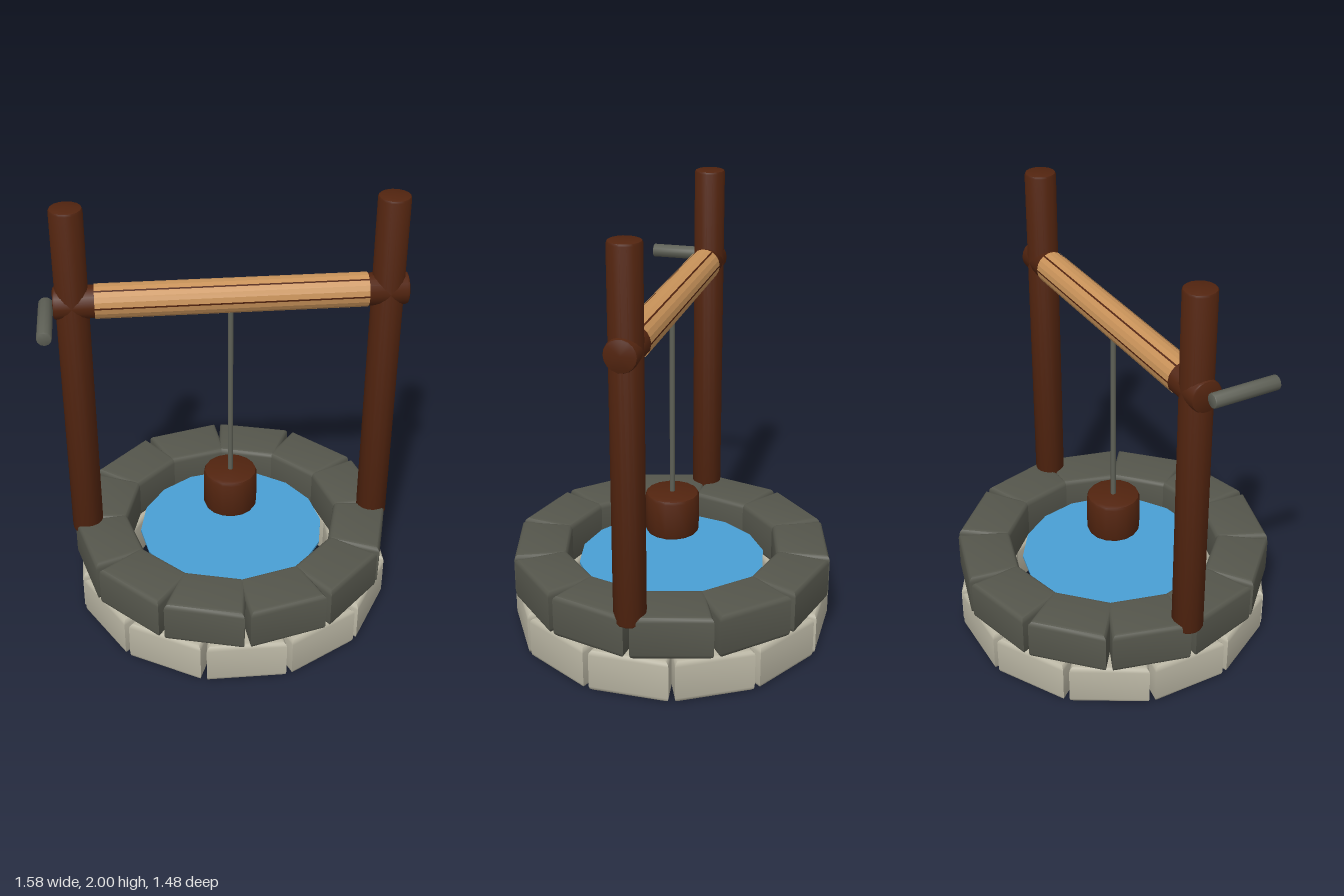
import * as THREE from 'three';
import { toCreasedNormals } from 'three/addons/utils/BufferGeometryUtils.js';

const mat = (name, color, side = THREE.FrontSide) => {
  const m = new THREE.MeshStandardMaterial({ color, side });
  m.name = name;
  return m;
};

export function createModel() {
  const paleStone = mat('paleStone', 0xb8b4a2);
  const darkStone = mat('darkStone', 0x55564c);
  const darkWood = mat('darkWood', 0x52240f);
  const lightWood = mat('lightWood', 0xc9935a, THREE.DoubleSide);
  const iron = mat('iron', 0x5e6056);
  const waterBlue = mat('waterBlue', 0x4a9fd4);

  const model = new THREE.Group();
  model.name = 'well';
  const CX = 0.03; // centre of the ring, bucket and rope
  const BEAM_Y = 1.565;

  const add = (name, geo, material, x, y, z, parent = model) => {
    const m = new THREE.Mesh(geo, material);
    m.name = name;
    m.position.set(x, y, z);
    parent.add(m);
    return m;
  };

  // upright cylinder with softened rims, centred on its own origin
  const softCylinder = (r, h, bevel, sides) => {
    const k = bevel * 0.3;
    const pts = [
      [0, -h / 2], [r - bevel, -h / 2], [r - k, -h / 2 + k], [r, -h / 2 + bevel],
      [r, h / 2 - bevel], [r - k, h / 2 - k], [r - bevel, h / 2], [0, h / 2],
    ].map(([x, y]) => new THREE.Vector2(x, y));
    return toCreasedNormals(new THREE.LatheGeometry(pts, sides), 0.7);
  };

  // one wedge-shaped stone, its outer face toward -z, base at y = 0
  const stoneGeometry = (h) => {
    const b = 0.024, inner = 0.475, outer = 0.717;
    const shape = new THREE.Shape([
      new THREE.Vector2(-0.145, inner), new THREE.Vector2(0.145, inner),
      new THREE.Vector2(0.178, outer), new THREE.Vector2(-0.178, outer),
    ]);
    const g = new THREE.ExtrudeGeometry(shape, {
      depth: h - 2 * b, bevelEnabled: true, bevelThickness: b,
      bevelSize: b, bevelOffset: -b, bevelSegments: 3,
    });
    g.translate(0, 0, b);
    g.rotateX(-Math.PI / 2);
    return toCreasedNormals(g, 0.7);
  };

  // two courses of twelve stones, the upper one turned by half a stone
  const stone = stoneGeometry(0.203);
  const course = (name, material, y, turn) => {
    const ring = new THREE.Group();
    ring.name = name;
    ring.position.set(CX, y, 0);
    for (let i = 0; i < 12; i++) {
      add('stone', stone, material, 0, 0, 0, ring).rotation.y = turn + (i * Math.PI) / 6;
    }
    model.add(ring);
  };
  course('lowerStones', paleStone, 0.005, 0);
  course('upperStones', darkStone, 0.207, Math.PI / 12);

  // water surface
  add('water', new THREE.CylinderGeometry(0.433, 0.433, 0.012, 16), waterBlue, CX, 0.31, 0);

  // posts
  const post = softCylinder(0.071, 1.64, 0.012, 16);
  add('rightPost', post, darkWood, -0.65, 1.18, 0);
  add('leftPost', post, darkWood, 0.705, 1.18, 0);

  // cross beam with six light strips around a dark core
  const beam = new THREE.Group();
  beam.name = 'beam';
  beam.position.set(CX, BEAM_Y, 0);
  beam.rotation.z = Math.PI / 2;
  model.add(beam);
  add('beamCore', softCylinder(0.071, 1.52, 0.01, 18), darkWood, 0, 0, 0, beam);
  const step = Math.PI / 3, gap = 0.1;
  for (let i = 0; i < 6; i++) {
    const strip = new THREE.CylinderGeometry(
      0.075, 0.075, 1.17, 3, 1, true, i * step + gap / 2, step - gap);
    add('beamStrip', toCreasedNormals(strip, 0.2), lightWood, 0, 0, 0, beam);
  }

  // crank handle, pointing to the front
  add('handle', softCylinder(0.032, 0.305, 0.006, 12), iron, -0.76, BEAM_Y, 0.152)
    .rotation.x = Math.PI / 2;

  // rope and bucket
  add('rope', new THREE.CylinderGeometry(0.012, 0.012, 0.88, 10), iron, CX - 0.005, 1.07, 0);
  add('bucket', softCylinder(0.124, 0.197, 0.018, 16), darkWood, CX - 0.005, 0.553, 0);

  return model;
}
